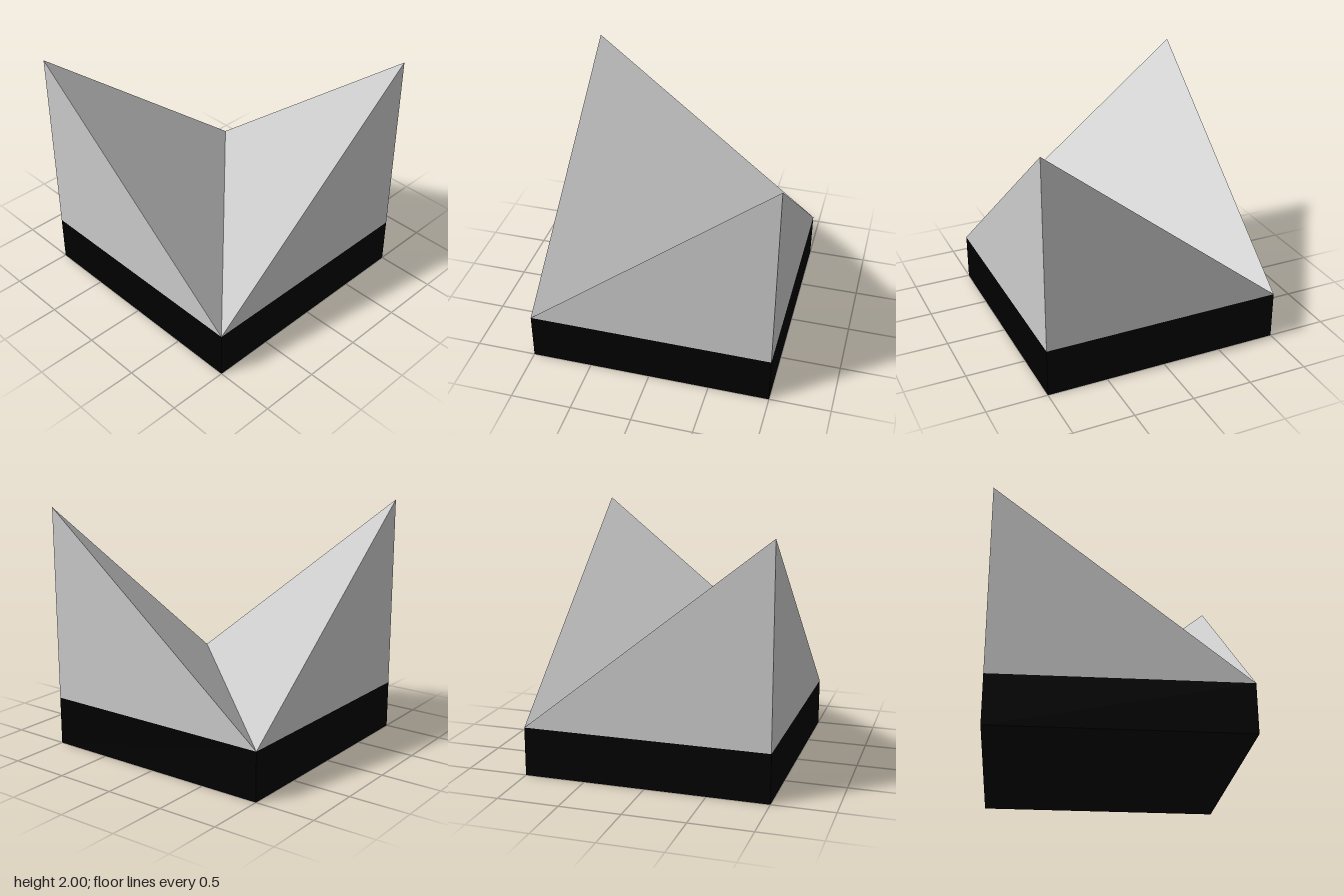
import * as THREE from 'three';
import { ConvexGeometry } from 'three/addons/geometries/ConvexGeometry.js';

const HALF = 1, BASE_HEIGHT = 0.4, PEAK_HEIGHT = 2;

export function createModel() {
  const model = new THREE.Group();
  model.name = 'twinPeakBlock';

  // Black square plinth
  const base = new THREE.Mesh(
    new THREE.BoxGeometry(2 * HALF, BASE_HEIGHT, 2 * HALF),
    new THREE.MeshStandardMaterial({ color: 0x000000 })
  );
  base.name = 'base';
  base.position.y = BASE_HEIGHT / 2;
  model.add(base);

  // Corner peak: a tetrahedron over half the plinth, upright on its outer sides
  const peakGeometry = new ConvexGeometry([
    new THREE.Vector3(-HALF, BASE_HEIGHT, HALF),
    new THREE.Vector3(HALF, BASE_HEIGHT, HALF),
    new THREE.Vector3(HALF, BASE_HEIGHT, -HALF),
    new THREE.Vector3(HALF, PEAK_HEIGHT, HALF),
  ]);
  const grey = new THREE.MeshStandardMaterial({ color: 0xcccccc, flatShading: true });

  // Two peaks on opposite corners, meeting in a valley along the diagonal
  ['frontLeftPeak', 'backRightPeak'].forEach((name, i) => {
    const peak = new THREE.Mesh(peakGeometry, grey);
    peak.name = name;
    peak.rotation.y = i * Math.PI;
    model.add(peak);
  });

  return model;
}
